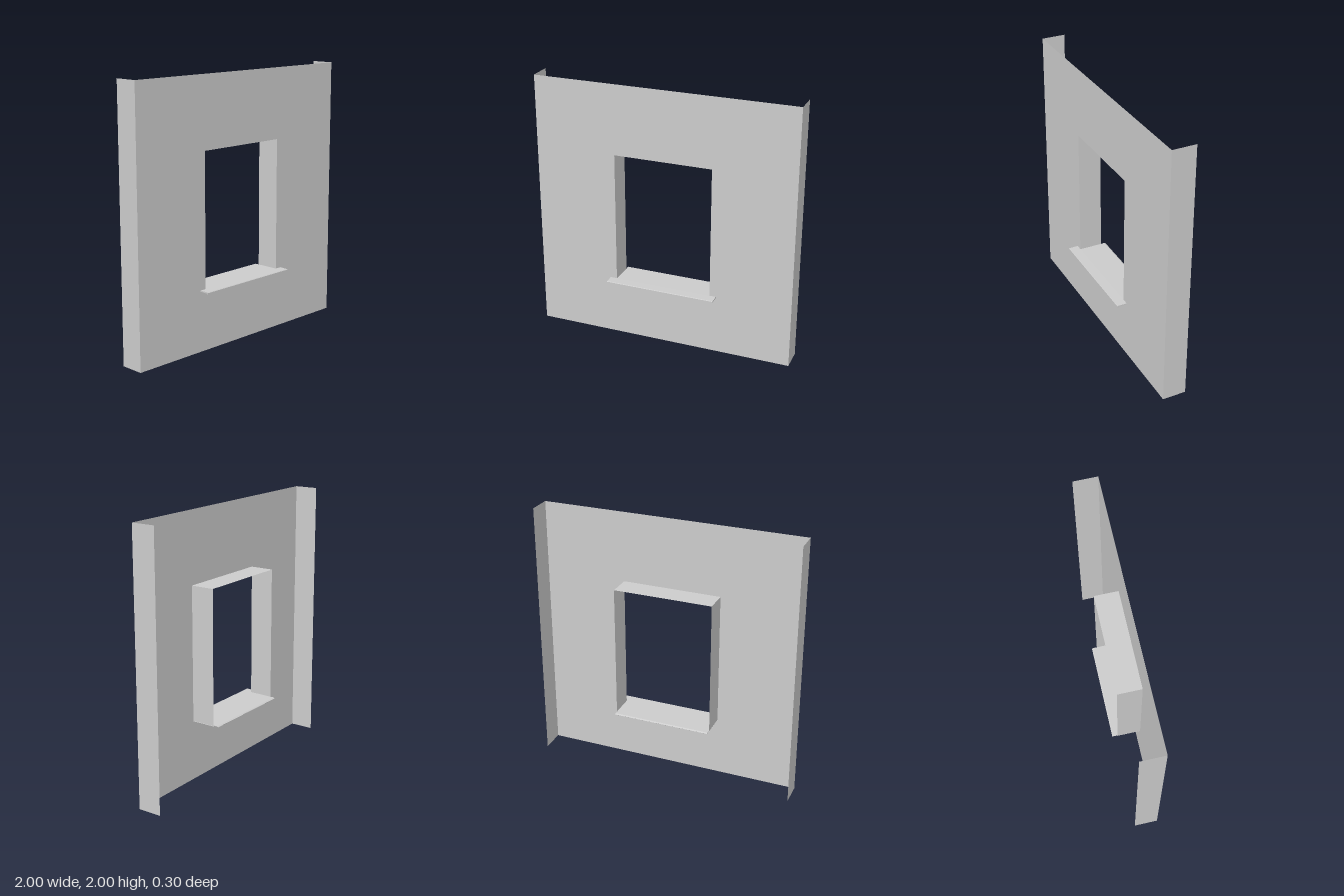
import * as THREE from 'three';

const FRONT = 0.07, BACK = -0.11;   // depth of the wall panel
const W = 0.375, SILL = 0.455, HEAD = 1.465; // window opening

export function createModel() {
  const group = new THREE.Group();
  const mat = new THREE.MeshStandardMaterial({ color: 0xcccccc, side: THREE.DoubleSide, flatShading: true });

  const add = (name, geometry) => {
    const mesh = new THREE.Mesh(geometry, mat);
    mesh.name = name;
    group.add(mesh);
    return mesh;
  };

  // Thin sheet running back through the wall
  const sheet = (name, w, h, x, y, z, rx, ry) => {
    const mesh = add(name, new THREE.PlaneGeometry(w, h));
    mesh.position.set(x, y, z);
    mesh.rotation.set(rx, ry, 0);
  };

  // Front wall sheet with window opening
  const wall = new THREE.Shape([[-1, 0], [1, 0], [1, 2], [-1, 2]].map(p => new THREE.Vector2(...p)));
  wall.holes.push(new THREE.Path([[-W, SILL], [-W, HEAD], [W, HEAD], [W, SILL]].map(p => new THREE.Vector2(...p))));
  add('wallFace', new THREE.ShapeGeometry(wall)).position.z = FRONT;

  // Wall side returns and window jambs
  const depth = FRONT - BACK, mid = (FRONT + BACK) / 2;
  for (const s of [-1, 1]) {
    const side = s > 0 ? 'left' : 'right';
    sheet(side + 'WallReturn', depth, 2, s, 1, mid, 0, s * Math.PI / 2);
    sheet(side + 'Jamb', depth, HEAD - SILL, s * W, (HEAD + SILL) / 2, mid, 0, -s * Math.PI / 2);
  }

  // Window head and bottom of the reveal
  sheet('windowHead', 2 * W, depth, 0, HEAD, mid, Math.PI / 2, 0);
  sheet('windowBottom', 2 * W, depth, 0, SILL - 0.003, mid, -Math.PI / 2, 0);

  // Sill profile (z, y) extruded across x
  const sillPart = (name, profile, halfWidth) => {
    const shape = new THREE.Shape(profile.map(([z, y]) => new THREE.Vector2(-z, y)));
    const g = new THREE.ExtrudeGeometry(shape, { depth: 2 * halfWidth, bevelEnabled: false });
    g.translate(0, 0, -halfWidth);
    g.rotateY(Math.PI / 2);
    add(name, g);
  };

  // Projecting outer sill with turned-down lip
  sillPart('outerSill', [[FRONT, 0.462], [0.141, 0.462], [0.145, 0.458], [0.145, 0.445],
    [0.138, 0.445], [0.138, 0.453], [FRONT, 0.453]], 0.425);

  // Inner sill running through the opening and out behind it
  sillPart('innerSill', [[FRONT, 0.462], [-0.14, 0.46], [-0.15, 0.454], [-0.149, 0.453],
    [-0.139, 0.457], [FRONT, 0.457]], W - 0.002);

  return group;
}
